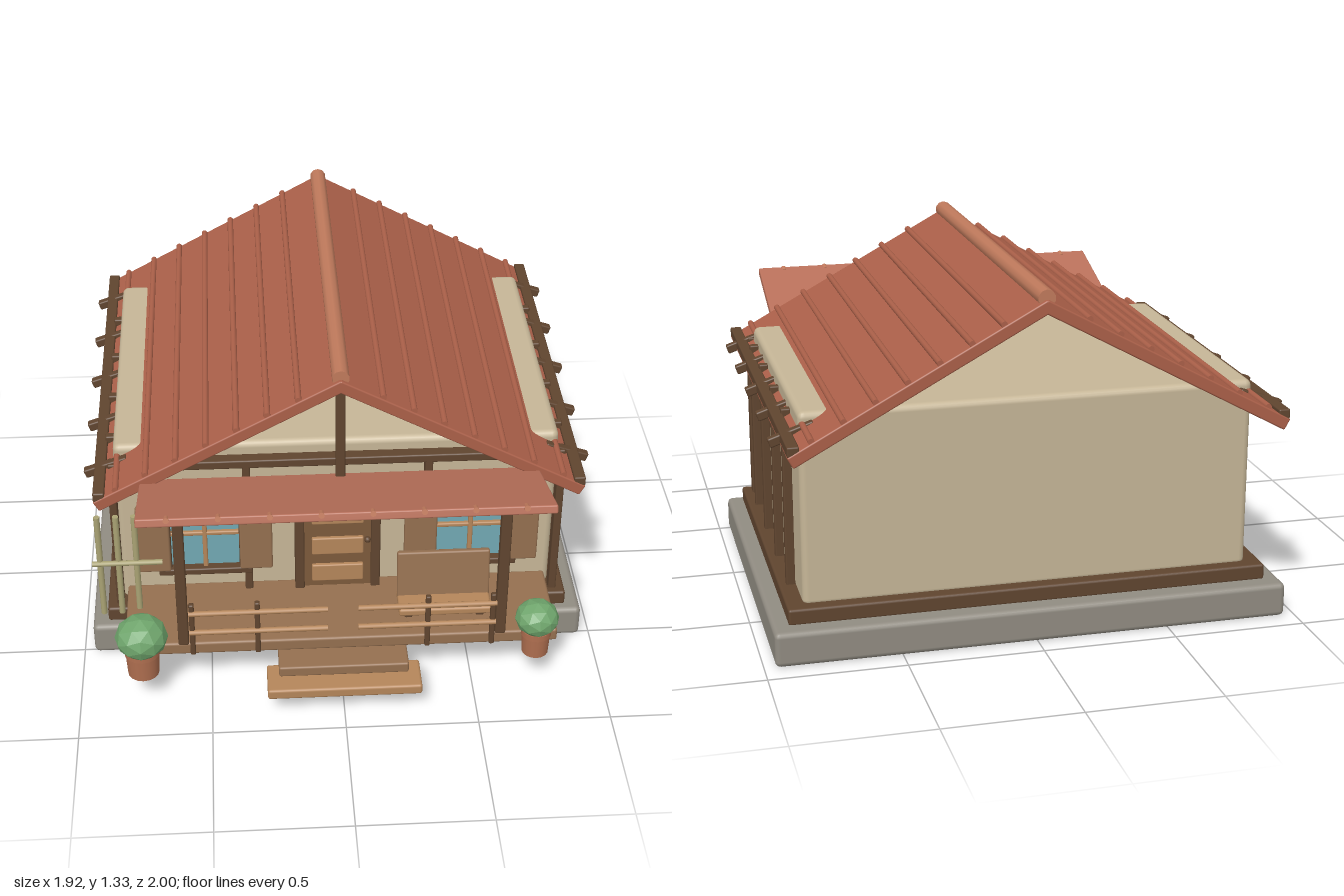
import * as THREE from 'three';
import { RoundedBoxGeometry } from 'three/addons/geometries/RoundedBoxGeometry.js';

const C = {
  stone: 0x918c82, wall: 0xc6b697, dark: 0x60452f, mid: 0x7d5a3c, wood: 0x957050, light: 0xb5865a,
  roof: 0xab6049, ridge: 0xc07a5c, porch: 0xb8705a, glass: 0x72a9b4, olive: 0xaaa374, leaf: 0x6fa56c, clay: 0xb06f50,
};
const mats = {};
function mat(color, flat = false) {
  const key = color + (flat ? 'f' : '');
  return mats[key] ??= new THREE.MeshStandardMaterial({ color, flatShading: flat });
}

function add(parent, name, geometry, color, x, y, z, flat) {
  const m = new THREE.Mesh(geometry, mat(color, flat));
  m.name = name;
  m.position.set(x, y, z);
  parent.add(m);
  return m;
}

// Softened box given by its ranges on each axis
function block(parent, name, color, [x0, x1], [y0, y1], [z0, z1], r = 0.006) {
  const w = x1 - x0, h = y1 - y0, d = z1 - z0;
  const g = new RoundedBoxGeometry(w, h, d, 2, Math.min(r, w / 3, h / 3, d / 3));
  return add(parent, name, g, color, (x0 + x1) / 2, (y0 + y1) / 2, (z0 + z1) / 2);
}

// Round bar along one axis
function bar(parent, name, color, axis, r, len, x, y, z) {
  const m = add(parent, name, new THREE.CylinderGeometry(r, r, len, 10), color, x, y, z);
  if (axis === 'x') m.rotation.z = Math.PI / 2;
  if (axis === 'z') m.rotation.x = Math.PI / 2;
  return m;
}

function group(parent, name) {
  const g = new THREE.Group();
  g.name = name;
  parent.add(g);
  return g;
}

const around = (c, w) => [c - w / 2, c + w / 2];

function buildBody(root) {
  const g = group(root, 'body');
  block(g, 'foundation', C.stone, [-0.96, 0.96], [0, 0.13], [-0.92, 0.52], 0.02);
  block(g, 'sill', C.dark, [-0.9, 0.9], [0.125, 0.187], [-0.85, 0.48], 0.01);
  block(g, 'walls', C.wall, [-0.84, 0.84], [0.17, 0.9], [-0.8, 0.4], 0.025);
  for (const s of [-1, 1]) {
    for (const z of [0.26, -0.02, -0.315, -0.6])
      block(g, 'sideStud', C.dark, around(s * 0.855, 0.036), [0.18, 0.86], around(z, 0.032));
    for (const x of [0.85, 0.345])
      block(g, 'frontStud', C.dark, around(s * x, 0.03), [0.18, 0.83], [0.4, 0.45]);
  }
  block(g, 'tieBeam', C.dark, [-0.86, 0.86], [0.815, 0.85], [0.4, 0.45]);
  block(g, 'kingPost', C.dark, around(0, 0.035), [0.85, 1.28], [0.575, 0.61]);
}

function buildRoof(root) {
  const roof = group(root, 'mainRoof');
  const pitch = Math.atan2(0.495, 0.91), depth = 1.62;
  roof.position.z = -0.19;
  for (const s of [1, -1]) {
    const half = group(roof, s > 0 ? 'leftHalf' : 'rightHalf');
    if (s < 0) half.rotation.y = Math.PI;
    const slope = group(half, 'slope');
    slope.position.y = 1.3;
    slope.rotation.z = -pitch;
    block(slope, 'roofPanel', C.roof, [0, 1.035], [-0.046, 0], around(0, depth));
    // Standing seams
    for (let i = 0; i < 7; i++)
      bar(slope, 'seam', C.roof, 'z', 0.012, depth - 0.01, (0.15 + i * 0.112) / Math.cos(pitch), 0.004, 0);
    block(half, 'eaveBeam', C.dark, [0.865, 0.908], [0.805, 0.843], around(0, depth - 0.005));
    // Rafter tails past the eave
    for (let i = 0; i < 5; i++) {
      const t = block(half, 'rafterTail', C.dark, [0.78, 0.95], [0.813, 0.848], around(s * (i - 2) * 0.308 - s * 0.003, 0.032));
      t.rotation.z = -0.33;
    }
  }
  bar(roof, 'ridgeCap', C.ridge, 'z', 0.032, depth - 0.03, 0, 1.302, 0);
}

function buildPorch(root) {
  const g = group(root, 'porch');
  block(g, 'deck', C.wood, [-0.82, 0.82], [0.187, 0.24], [0.4, 0.765], 0.01);
  block(g, 'upperStep', C.wood, [-0.245, 0.245], [0.143, 0.187], [0.72, 0.865], 0.008);
  block(g, 'lowerStep', C.light, [-0.29, 0.29], [0.1, 0.143], [0.79, 0.942], 0.01);
  block(g, 'porchBeam', C.dark, [-0.64, 0.64], [0.81, 0.85], [0.722, 0.768]);

  // Canopy tilting up toward the front
  const canopy = group(g, 'canopy');
  canopy.position.set(0, 0.986, 0.995);
  canopy.rotation.x = Math.atan2(-0.13, 0.41);
  block(canopy, 'canopyPanel', C.porch, [-0.735, 0.735], [-0.016, 0.016], [-0.44, 0]);
  for (let i = 0; i < 8; i++)
    bar(canopy, 'canopyNub', C.ridge, 'z', 0.011, 0.03, (i - 3.5) * 0.179, 0.008, -0.013);

  for (const s of [-1, 1]) {
    block(g, 'porchPost', C.dark, around(s * 0.6, 0.04), [0.23, 0.83], [0.725, 0.765]);
    // Railing
    for (const y of [0.4, 0.31]) bar(g, 'rail', C.light, 'x', 0.011, 0.52, s * 0.317, y, 0.785);
    for (const x of [0.565, 0.32]) block(g, 'baluster', C.dark, around(s * x, 0.02), [0.2, 0.44], [0.765, 0.787]);
  }
}

function buildDoor(root) {
  const g = group(root, 'door');
  for (const s of [-1, 1])
    block(g, 'doorJamb', C.dark, around(s * 0.147, 0.036), [0.235, 0.74], [0.39, 0.46]);
  block(g, 'doorHead', C.dark, [-0.165, 0.165], [0.705, 0.742], [0.39, 0.462]);
  block(g, 'doorLeaf', C.mid, [-0.132, 0.132], [0.235, 0.71], [0.39, 0.445]);
  for (const y of [0.31, 0.44, 0.585])
    block(g, 'doorPanel', C.light, [-0.1, 0.1], around(y, 0.078), [0.43, 0.46]);
  add(g, 'doorKnob', new THREE.SphereGeometry(0.013, 12, 8), C.dark, 0.115, 0.465, 0.455);
}

function buildWindow(root, s) {
  const g = group(root, s > 0 ? 'leftWindow' : 'rightWindow');
  const cx = s * 0.51;
  block(g, 'glass', C.glass, around(cx, 0.27), [0.37, 0.69], [0.39, 0.455]);
  for (const y of [0.362, 0.692])
    block(g, y > 0.5 ? 'lintel' : 'windowSill', C.dark, around(cx, 0.36), around(y, 0.028), [0.39, 0.49]);
  for (const d of [-1, 1]) {
    block(g, 'windowJamb', C.dark, around(cx + d * 0.145, 0.03), [0.36, 0.69], [0.39, 0.475]);
    block(g, 'shutter', C.wood, around(cx + d * 0.195, 0.125), [0.38, 0.68], [0.475, 0.505], 0.008);
  }
  block(g, 'mullion', C.light, around(cx, 0.018), [0.37, 0.69], [0.44, 0.472]);
  block(g, 'crossBar', C.light, around(cx, 0.27), around(0.53, 0.018), [0.44, 0.47]);
}

function buildBench(root) {
  const g = group(root, 'bench');
  block(g, 'benchSeat', C.light, [0.22, 0.575], [0.272, 0.304], [0.565, 0.695], 0.01);
  const back = block(g, 'benchBack', C.wood, [0.22, 0.575], [0.28, 0.486], [0.566, 0.592], 0.008);
  back.rotation.x = -0.16;
  for (const x of [0.26, 0.535])
    block(g, 'benchLeg', C.dark, around(x, 0.03), [0.235, 0.28], [0.6, 0.66]);
}

function buildTrellis(root) {
  const g = group(root, 'trellis');
  for (const x of [-0.908, -0.838, -0.77]) bar(g, 'trellisUpright', C.olive, 'y', 0.012, 0.46, x, 0.45, 0.54);
  bar(g, 'trellisCrossbar', C.olive, 'x', 0.011, 0.265, -0.805, 0.465, 0.548);
}

// Potted shrub: low-poly ball over a rimmed clay pot
function buildPlant(root, x, z, potR, bushR, bottom) {
  const g = group(root, 'pottedShrub');
  g.position.set(x, 0, z);
  const h = 0.262 - bottom;
  add(g, 'pot', new THREE.CylinderGeometry(potR, potR * 0.9, h, 16), C.clay, 0, bottom + h / 2, 0);
  add(g, 'potRim', new THREE.CylinderGeometry(potR * 1.04, potR * 1.04, 0.025, 16), C.clay, 0, 0.243, 0);
  const bush = add(g, 'shrub', new THREE.IcosahedronGeometry(bushR, 1), C.leaf, 0, 0.305, 0, true);
  bush.scale.y = 0.82;
}

export function createModel() {
  const root = new THREE.Group();
  root.name = 'cottage';
  buildBody(root);
  buildRoof(root);
  buildPorch(root);
  buildDoor(root);
  buildWindow(root, 1);
  buildWindow(root, -1);
  buildBench(root);
  buildTrellis(root);
  buildPlant(root, -0.755, 0.79, 0.066, 0.1, 0.135);
  buildPlant(root, 0.737, 0.765, 0.056, 0.084, 0.145);
  return root;
}
